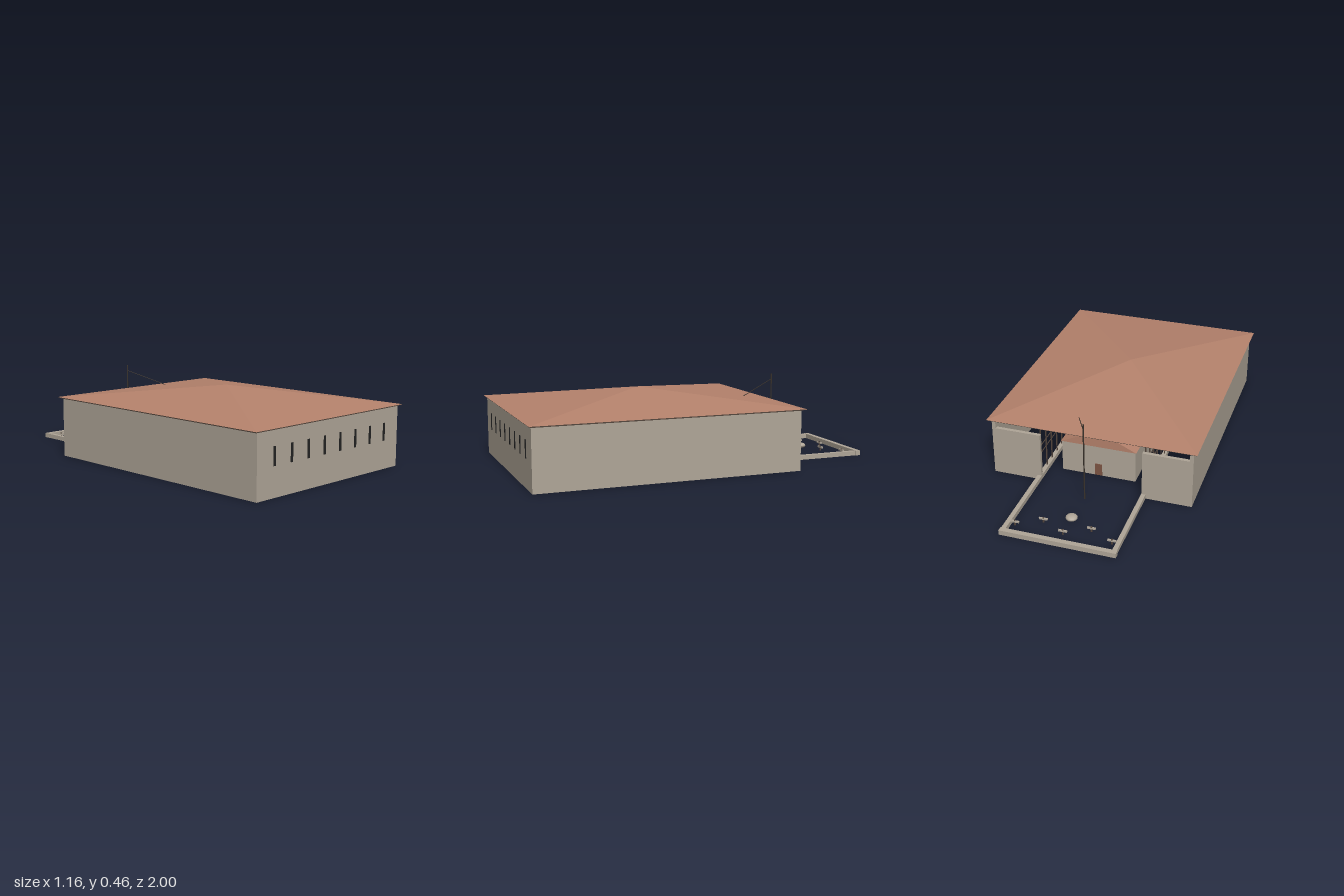
import * as THREE from 'three';

const mat = (name, color) => {
  const m = new THREE.MeshStandardMaterial({ color });
  m.name = name;
  return m;
};

export function createModel() {
  const root = new THREE.Group();
  root.name = 'walledBarracks';
  const stone = mat('stone', 0xb0a698);
  const tile = mat('roofTile', 0xb5826c);
  const timber = mat('darkTimber', 0x54463d);
  const slit = mat('windowDark', 0x222222);
  const iron = mat('poleDark', 0x3a332c);
  const doorWood = mat('doorWood', 0x7d5443);

  const add = (name, geo, material, parent = root) => {
    const m = new THREE.Mesh(geo, material);
    m.name = name;
    parent.add(m);
    return m;
  };
  // box given by its minimum and maximum on each axis
  const box = (name, material, x0, x1, y0, y1, z0, z1, parent) => {
    const m = add(name, new THREE.BoxGeometry(x1 - x0, y1 - y0, z1 - z0), material, parent);
    m.position.set((x0 + x1) / 2, (y0 + y1) / 2, (z0 + z1) / 2);
    return m;
  };
  // thin round bar between two points
  const rod = (name, material, a, b, r, parent) => {
    const p = new THREE.Vector3(...a), q = new THREE.Vector3(...b);
    const d = q.clone().sub(p);
    const m = add(name, new THREE.CylinderGeometry(r, r, d.length(), 8), material, parent);
    m.position.copy(p).add(q).multiplyScalar(0.5);
    m.quaternion.setFromUnitVectors(new THREE.Vector3(0, 1, 0), d.normalize());
  };

  // outer walls, open to the back
  box('frontWall', stone, -0.56, 0.56, 0, 0.328, 0.965, 0.985);
  for (const s of [-1, 1]) {
    const span = (a, b) => [Math.min(s * a, s * b), Math.max(s * a, s * b)];
    box('sideWall', stone, ...span(0.54, 0.56), 0, 0.328, -0.475, 0.965);
    box('backWall', stone, ...span(0.285, 0.54), 0, 0.28, -0.475, -0.455);
    // low yard wall running from the court out to the yard end
    box('yardSideWall', stone, ...span(0.283, 0.307), 0, 0.025, -0.972, 0.19);
  }
  box('yardEndWall', stone, -0.31, 0.31, 0, 0.027, -1, -0.972);

  // narrow front windows
  for (let i = 0; i < 8; i++) {
    const x = -0.4375 + i * 0.125;
    box('slitWindow', slit, x - 0.0075, x + 0.0075, 0.155, 0.25, 0.983, 0.988);
  }

  // main roof: timber eave plate under a four-sided tiled pyramid
  box('eavePlate', timber, -0.57, 0.57, 0.328, 0.336, -0.482, 0.988);
  box('roofSoffit', timber, -0.58, 0.58, 0.333, 0.336, -0.495, 0.998);
  const pyramid = new THREE.ConeGeometry(Math.SQRT1_2, 1, 4, 1, true).toNonIndexed();
  pyramid.rotateY(Math.PI / 4);
  pyramid.scale(1.164, 0.088, 1.496);
  pyramid.computeVertexNormals();
  add('mainRoof', pyramid, tile).position.set(0, 0.38, 0.252);

  // timber galleries along both sides of the court
  for (const s of [-1, 1]) {
    const gallery = new THREE.Group();
    gallery.name = 'gallery';
    root.add(gallery);
    const x = s * 0.295;
    for (let i = 0; i < 9; i++) {
      const z = -0.44 + i * 0.0775;
      box('galleryPost', timber, x - 0.003, x + 0.003, 0.025, 0.328, z - 0.003, z + 0.003, gallery);
    }
    for (const y of [0.15, 0.195])
      box('galleryRail', timber, x - 0.002, x + 0.002, y - 0.002, y + 0.002, -0.455, 0.19, gallery);
  }

  // small house inside the court
  const house = new THREE.Group();
  house.name = 'innerHouse';
  root.add(house);
  box('houseWalls', stone, -0.21, 0.21, 0, 0.185, -0.34, 0.09, house);
  const gable = new THREE.Shape([
    new THREE.Vector2(-0.215, 0), new THREE.Vector2(0.215, 0), new THREE.Vector2(0, 0.1),
  ]);
  const roof = add('houseRoof',
    new THREE.ExtrudeGeometry(gable, { depth: 0.44, bevelEnabled: false }), tile, house);
  roof.position.set(0, 0.185, -0.345);
  box('houseDoor', doorWood, -0.02, 0.02, 0.003, 0.073, -0.344, -0.338, house);

  // mast with its stay running down into the roof
  rod('mast', iron, [0, 0, -0.575], [0, 0.46, -0.575], 0.004);
  rod('mastStay', iron, [0, 0.428, -0.575], [0.107, 0.352, -0.345], 0.002);

  // rounded boulder in the yard
  const boulder = add('boulder', new THREE.SphereGeometry(0.032, 14, 8), stone);
  boulder.scale.y = 0.5;
  boulder.position.set(0, 0.019, -0.775);

  // training posts with crossbars
  for (const [x, z] of [[-0.26, -0.905], [0, -0.905], [0.26, -0.905], [-0.13, -0.84], [0.13, -0.84]]) {
    const post = new THREE.Group();
    post.name = 'trainingPost';
    post.position.set(x, 0, z);
    root.add(post);
    rod('postShaft', timber, [0, 0.005, 0], [0, 0.035, 0], 0.005, post);
    box('postCrossbar', stone, -0.023, 0.023, 0.022, 0.031, -0.005, 0.005, post);
  }
  return root;
}
